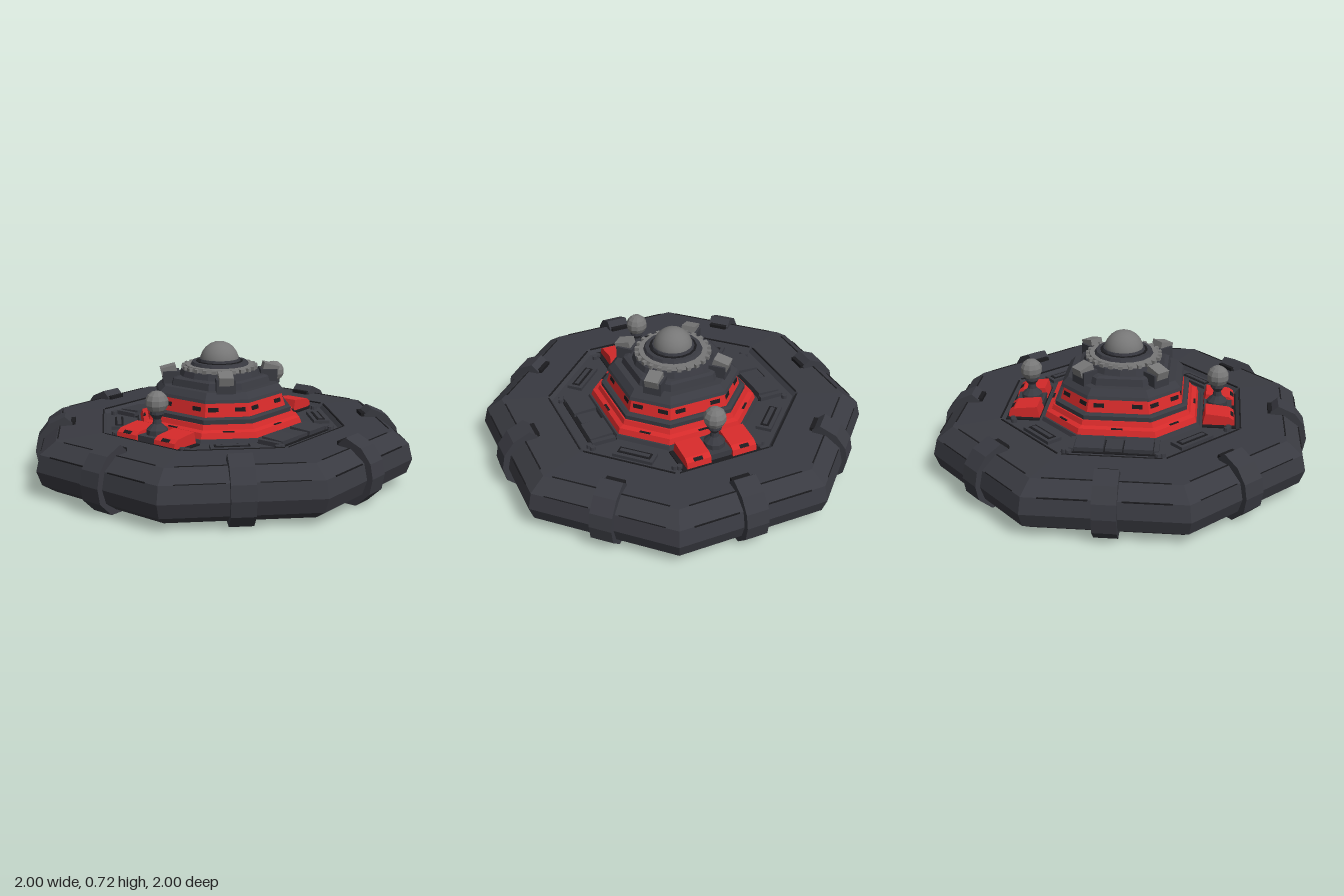
import * as THREE from 'three';

const mat = (name, color) => Object.assign(new THREE.MeshStandardMaterial({ color }), { name });

// Eight-sided stack: profile is [halfWidth, y] from bottom to top, t sets the corner cut
function octStack(profile, t = 0.42) {
  const ring = ([a, y]) => [[1, t], [1, -t], [t, -1], [-t, -1], [-1, -t], [-1, t], [-t, 1], [t, 1]]
    .map(([x, z]) => [x * a, y, z * a]);
  const rings = profile.map(ring);
  const pos = [];
  const tri = (...p) => p.forEach(v => pos.push(...v));
  for (let i = 0; i < 8; i++) {
    const j = (i + 1) % 8;
    for (let k = 0; k < rings.length - 1; k++) {
      const a = rings[k], b = rings[k + 1];
      tri(a[i], a[j], b[j]);
      tri(a[i], b[j], b[i]);
    }
    const bot = rings[0], top = rings[rings.length - 1];
    tri([0, bot[0][1], 0], bot[j], bot[i]);
    tri([0, top[0][1], 0], top[i], top[j]);
  }
  const g = new THREE.BufferGeometry();
  g.setAttribute('position', new THREE.Float32BufferAttribute(pos, 3));
  g.computeVertexNormals();
  return g;
}

// Faceted copy of a geometry
function facet(g) {
  const f = g.index ? g.toNonIndexed() : g;
  f.computeVertexNormals();
  return f;
}

export function createModel() {
  const root = new THREE.Group();
  root.name = 'saucerMachine';
  const charcoal = mat('charcoal', 0x393a41);
  const ink = mat('ink', 0x1b1b1e);
  const red = mat('red', 0xd62a2a);
  const grey = mat('grey', 0x777777);

  const add = (name, geo, material, x = 0, y = 0, z = 0, parent = root) => {
    const m = new THREE.Mesh(geo, material);
    m.name = name;
    m.position.set(x, y, z);
    parent.add(m);
    return m;
  };
  const box = (w, h, d) => new THREE.BoxGeometry(w, h, d);
  // Pivot whose local +z points outward at k eighths of a turn
  const spoke = (name, k) => {
    const g = new THREE.Group();
    g.name = name;
    g.rotation.y = k * Math.PI / 4;
    root.add(g);
    return g;
  };

  // Thick outer ring with a sunken deck
  add('hull', octStack([[0.88, 0.03], [0.945, 0.075], [0.97, 0.15], [0.95, 0.235], [0.87, 0.295],
    [0.64, 0.305], [0.615, 0.28]]), charcoal);

  // Clamps around the hull
  const clampPoints = [[0.80, 0.31], [0.84, 0.345], [0.93, 0.305], [0.985, 0.235], [1, 0.16], [0.985, 0.08],
    [0.91, 0.008], [0.82, 0.008], [0.82, 0.05], [0.9, 0.06], [0.94, 0.16], [0.88, 0.27], [0.80, 0.28]];
  const clampShape = new THREE.Shape(clampPoints.map(p => new THREE.Vector2(...p)));
  const clampGeo = new THREE.ExtrudeGeometry(clampShape, { depth: 0.12, bevelEnabled: false });
  clampGeo.translate(0, 0, -0.06).rotateY(-Math.PI / 2);

  for (let k = 0; k < 8; k++) {
    const s = spoke('hullSection', k);
    const diagonal = k % 2 === 1;
    add('clamp', clampGeo, charcoal, 0, 0, 0, s);
    add('clampFoot', box(0.1, 0.025, 0.03), ink, 0, 0.305, 0.80, s);
    // Engraved seams along the ring
    add('outerSeam', box(0.62, 0.005, 0.007), ink, 0, 0.2955, 0.866, s);
    add('innerSeam', box(0.5, 0.006, 0.008), ink, 0, 0.304, 0.636, s);
    for (const x of [-0.2, 0.2]) add('sideSeam', box(0.24, 0.006, 0.006), ink, x, 0.235, 0.951, s);

    // Slotted vents on the diagonal deck sections
    if (diagonal) {
      add('ventFrame', box(0.22, 0.02, 0.085), charcoal, 0, 0.288, 0.55, s);
      add('ventSlot', box(0.18, 0.006, 0.045), ink, 0, 0.298, 0.55, s);
      add('ventBar', box(0.16, 0.008, 0.022), charcoal, 0, 0.300, 0.55, s);
    }
    // Rivets
    for (const x of [-0.225, 0.225])
      add('rivet', facet(new THREE.CylinderGeometry(0.015, 0.017, 0.02, 8)), charcoal, x, 0.29, 0.575, s);

    // Painted slots on the red tiers
    const d = diagonal ? 1.06 : 1;
    const span = diagonal ? 0.07 : 0.1;
    for (const x of [-span, span])
      add('towerSlot', box(0.055, 0.022, 0.008), ink, x, 0.428, 0.3125 * d, s).rotation.x = -0.2;
    add('baseSlot', box(0.06, 0.005, 0.012), ink, 0, 0.332, 0.388 * d, s);
  }

  // Deck hatches at front and back
  for (const k of [0, 4]) {
    const s = spoke('hatchBay', k);
    add('hatchBed', box(0.44, 0.012, 0.15), ink, 0, 0.279, 0.495, s);
    for (const x of [-1, 1]) {
      add('hatch', box(0.145, 0.035, 0.125), charcoal, x * 0.125, 0.293, 0.495, s).rotation.x = 0.06;
      add('hatchEnd', box(0.025, 0.03, 0.13), charcoal, x * 0.215, 0.288, 0.495, s);
    }
    add('hatchBridge', box(0.085, 0.025, 0.11), charcoal, 0, 0.29, 0.495, s);
  }

  // Stepped tower
  const tier = (name, profile, material) => add(name, octStack(profile, 0.5), material);
  tier('towerFoot', [[0.425, 0.275], [0.415, 0.30]], charcoal);
  tier('redBase', [[0.405, 0.30], [0.395, 0.33], [0.37, 0.338], [0.36, 0.362]], red);
  tier('lowerBand', [[0.352, 0.36], [0.352, 0.385], [0.335, 0.392]], charcoal);
  tier('redTier', [[0.325, 0.39], [0.305, 0.462]], red);
  tier('roof', [[0.305, 0.46], [0.322, 0.464], [0.315, 0.48], [0.285, 0.512]], charcoal);
  tier('upperTier', [[0.25, 0.51], [0.24, 0.548], [0.22, 0.555]], charcoal);

  // Turret with toothed ring and dome
  const drum = (r0, r1, h, n) => facet(new THREE.CylinderGeometry(r1, r0, h, n));
  add('turretDrum', drum(0.225, 0.21, 0.04, 16), charcoal, 0, 0.565, 0);
  add('gearRing', drum(0.195, 0.185, 0.03, 24), grey, 0, 0.592, 0);
  for (let i = 0; i < 24; i++) {
    const a = i * Math.PI / 12;
    add('gearTooth', box(0.022, 0.024, 0.026), grey, Math.sin(a) * 0.193, 0.592, Math.cos(a) * 0.193).rotation.y = a;
  }
  add('collar', drum(0.168, 0.15, 0.03, 16), charcoal, 0, 0.608, 0);
  add('collarGroove', drum(0.128, 0.128, 0.008, 16), ink, 0, 0.622, 0);
  add('domeSeat', drum(0.118, 0.112, 0.02, 16), charcoal, 0, 0.628, 0);
  add('dome', new THREE.SphereGeometry(0.106, 20, 12), grey, 0, 0.624, 0);

  // Corner lugs around the turret
  for (const k of [1, 3, 5, 7]) {
    const s = spoke('cornerLug', k);
    add('lugBase', box(0.1, 0.075, 0.09), charcoal, 0, 0.54, 0.265, s);
    add('lugCap', box(0.075, 0.045, 0.085), grey, 0, 0.58, 0.278, s).rotation.x = 0.25;
  }

  // Side consoles: wedge-topped red blocks and a ball lamp on a post
  const wedge = new THREE.Shape([[0.435, 0.28], [0.608, 0.28], [0.6, 0.318], [0.575, 0.335], [0.45, 0.348]]
    .map(p => new THREE.Vector2(...p)));
  const wedgeGeo = new THREE.ExtrudeGeometry(wedge, { depth: 0.135, bevelEnabled: false });
  wedgeGeo.translate(0, 0, -0.0675).rotateY(-Math.PI / 2);
  const postGeo = facet(new THREE.LatheGeometry([[0.058, 0.3], [0.056, 0.345], [0.024, 0.375], [0.02, 0.4],
    [0.038, 0.425], [0.036, 0.44], [0, 0.445]].map(p => new THREE.Vector2(...p)), 10));
  const ballGeo = facet(new THREE.SphereGeometry(0.06, 10, 7));
  for (const k of [2, 6]) {
    const s = spoke('sideConsole', k);
    add('consoleBed', box(0.44, 0.014, 0.18), ink, 0, 0.28, 0.525, s);
    add('consoleCore', box(0.14, 0.04, 0.15), charcoal, 0, 0.3, 0.515, s);
    for (const x of [-1, 1]) {
      add('redBlock', wedgeGeo, red, x * 0.128, 0, 0, s);
      add('blockMark', box(0.05, 0.006, 0.02), ink, x * 0.13, 0.323, 0.591, s).rotation.x = 0.6;
    }
    add('lampPost', postGeo, charcoal, 0, 0, 0.51, s);
    add('lampBall', ballGeo, grey, 0, 0.485, 0.51, s);
  }
  return root;
}
